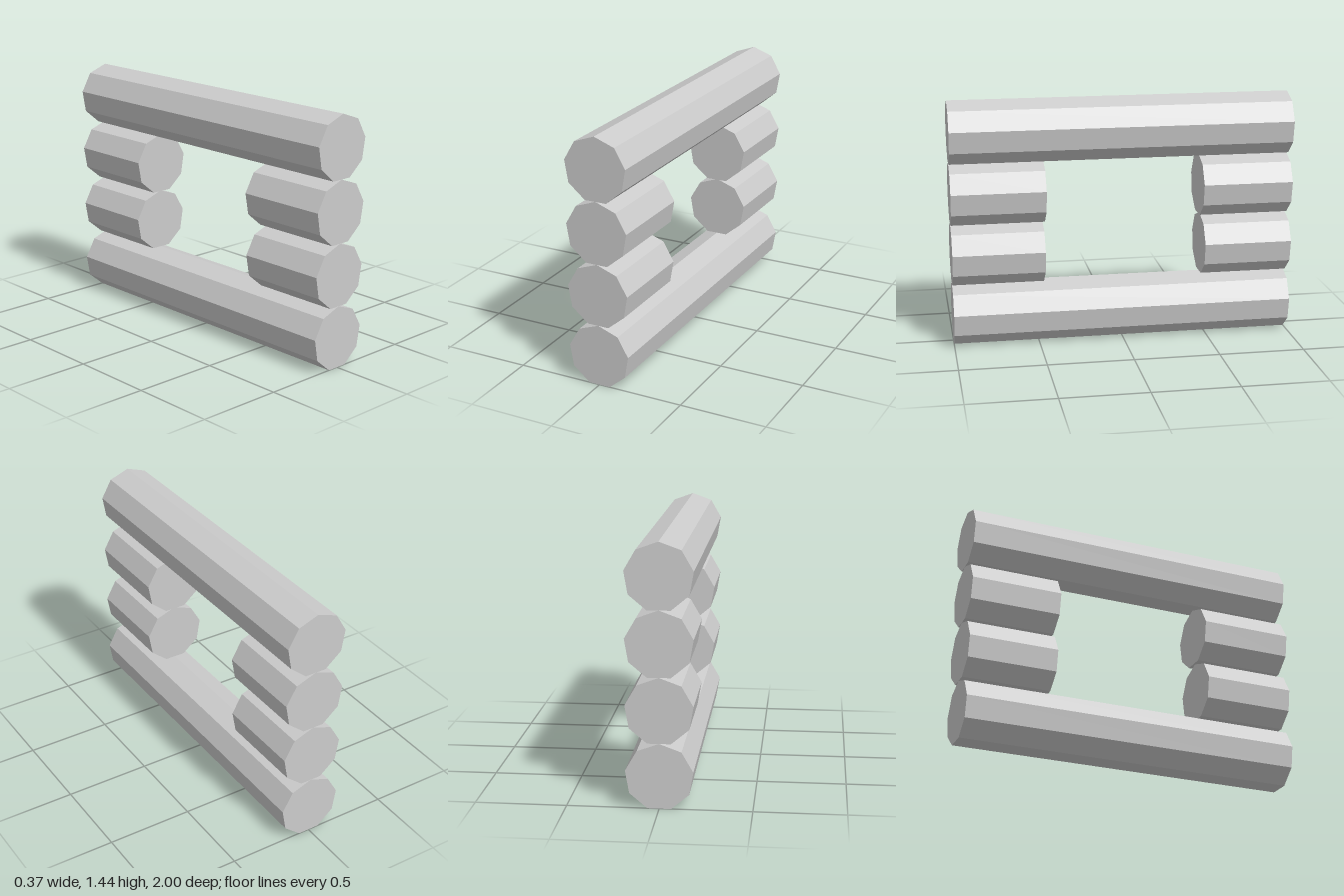
import * as THREE from 'three';

const SIDES = 9;
const PITCH = 0.36; // height of one log, and the step between rows
const RADIUS = PITCH / (1 + Math.cos(Math.PI / SIDES));

export function createModel() {
  const wall = new THREE.Group();
  wall.name = 'logWall';
  const wood = new THREE.MeshStandardMaterial({ color: 0xcccccc, flatShading: true });
  wood.name = 'plain grey';

  // A nine-sided log lying along z, with one edge pointing straight up
  function addLog(name, row, zBack, zFront) {
    const geometry = new THREE.CylinderGeometry(RADIUS, RADIUS, zFront - zBack, SIDES);
    geometry.rotateX(-Math.PI / 2);
    const log = new THREE.Mesh(geometry, wood);
    log.name = name;
    log.position.set(0, (row + 1) * PITCH - RADIUS, (zBack + zFront) / 2);
    wall.add(log);
  }

  // Full-length logs below and above the window opening
  addLog('bottomLog', 0, -1, 1);
  addLog('topLog', 3, -1, 1);

  // Short logs on both sides of the opening, cut slightly unevenly
  addLog('lowerFrontLog', 1, 0.463, 1);
  addLog('lowerBackLog', 1, -1, -0.481);
  addLog('upperFrontLog', 2, 0.453, 1);
  addLog('upperBackLog', 2, -1, -0.47);

  return wall;
}
